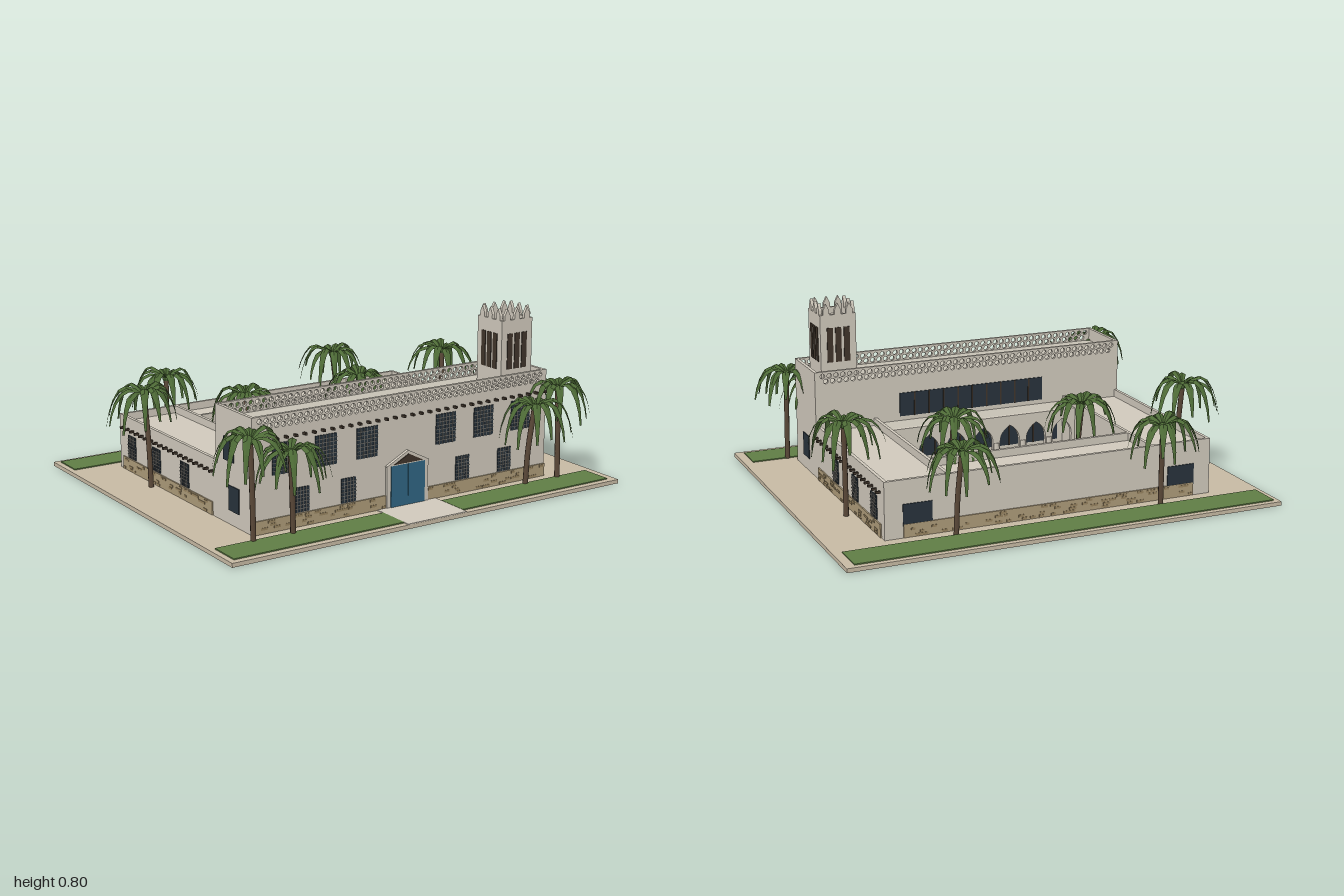
import * as THREE from 'three';

const C = {
  wall: 0xcfc8bb, roof: 0xc6c1b4, ground: 0xc6b9a3, grass: 0x5f7d45, path: 0xcfc8bb, dark: 0x27323b,
  bar: 0x8c8a84, stone: 0xac9a78, stoneDark: 0x97835f, beam: 0x3f342a, blue: 0x2f6582, water: 0x2f86a8,
  tileA: 0xc9b993, tileB: 0xad9a75, trunk: 0x5a4838, leaf: 0x4d6a36,
};
const mats = {};
const mat = (c) => (mats[c] ??= new THREE.MeshStandardMaterial({ color: C[c], side: c === 'leaf' ? THREE.DoubleSide : THREE.FrontSide, flatShading: c === 'leaf' }));

let seed = 7;
const rnd = () => (seed = (seed * 16807) % 2147483647) / 2147483647;

function add(parent, name, geo, c, x = 0, y = 0, z = 0) {
  const m = new THREE.Mesh(geo, mat(c));
  m.name = name;
  m.position.set(x, y, z);
  parent.add(m);
  return m;
}
// Box given by its limits on each axis
function box(p, name, c, x0, x1, y0, y1, z0, z1) {
  return add(p, name, new THREE.BoxGeometry(x1 - x0, y1 - y0, z1 - z0), c, (x0 + x1) / 2, (y0 + y1) / 2, (z0 + z1) / 2);
}
// Empty group on a wall: local x runs along the wall, local +z points outwards
function face(p, name, x, z, angle) {
  const g = new THREE.Group();
  g.name = name;
  g.position.set(x, 0, z);
  g.rotation.y = angle;
  p.add(g);
  return g;
}
// Dark pane with an optional lattice of bars
function windowAt(p, x, y0, y1, w, nx = 0, ny = 0) {
  box(p, 'windowPane', 'dark', x - w / 2, x + w / 2, y0, y1, -0.005, 0.004);
  for (let i = 1; i < nx; i++) {
    const u = x - w / 2 + (w * i) / nx;
    box(p, 'windowBar', 'bar', u - 0.0012, u + 0.0012, y0, y1, 0, 0.007);
  }
  for (let i = 1; i < ny; i++) {
    const v = y0 + ((y1 - y0) * i) / ny;
    box(p, 'windowBar', 'bar', x - w / 2, x + w / 2, v - 0.0012, v + 0.0012, 0, 0.007);
  }
}
function plinth(p, x0, x1) {
  box(p, 'stonePlinth', 'stone', x0, x1, 0.02, 0.078, -0.005, 0.006);
  for (let i = 0; i < (x1 - x0) * 45; i++) {
    const w = 0.015 + rnd() * 0.02, x = x0 + rnd() * (x1 - x0 - w), y = 0.024 + Math.floor(rnd() * 4) * 0.013;
    box(p, 'plinthStone', 'stoneDark', x, x + w, y, y + 0.01, 0, 0.008);
  }
}
function beams(p, x0, x1, y) {
  const n = Math.round((x1 - x0) / 0.045);
  for (let i = 0; i <= n; i++) {
    const x = x0 + ((x1 - x0) * i) / n;
    box(p, 'beamEnd', 'beam', x - 0.005, x + 0.005, y - 0.005, y + 0.005, -0.005, 0.022);
  }
}
// Parapet pierced by two staggered rows of round holes
function lattice(p, w, y0, y1, z, t) {
  const s = new THREE.Shape([[-w / 2, y0], [w / 2, y0], [w / 2, y1], [-w / 2, y1]].map((a) => new THREE.Vector2(...a)));
  const n = 46, step = (w - 0.04) / n;
  for (let row = 0; row < 2; row++) {
    for (let i = 0; i < n - row; i++) {
      const h = new THREE.Path();
      h.absarc(-w / 2 + 0.02 + step * (i + 0.5 + row / 2), y1 - 0.02 - row * 0.025, 0.0115, 0, Math.PI * 2, true);
      s.holes.push(h);
    }
  }
  add(p, 'latticeParapet', new THREE.ExtrudeGeometry(s, { depth: t, bevelEnabled: false, curveSegments: 4 }), 'wall', 0, 0, z);
}
// Wall with pointed arches open to the floor
function arcade(p, w, n, z) {
  const s = new THREE.Shape(), pitch = w / n, r = pitch * 0.37;
  s.moveTo(-w / 2, 0.02);
  for (let i = 0; i < n; i++) {
    const c = -w / 2 + pitch * (i + 0.5);
    s.lineTo(c - r, 0.02);
    s.lineTo(c - r, 0.125);
    s.quadraticCurveTo(c - r, 0.17, c, 0.2);
    s.quadraticCurveTo(c + r, 0.17, c + r, 0.125);
    s.lineTo(c + r, 0.02);
  }
  s.lineTo(w / 2, 0.02);
  s.lineTo(w / 2, 0.245);
  s.lineTo(-w / 2, 0.245);
  add(p, 'arcadeWall', new THREE.ExtrudeGeometry(s, { depth: 0.02, bevelEnabled: false, curveSegments: 6 }), 'wall', 0, 0, z);
  for (let i = 1; i < n; i++) {
    add(p, 'arcadeColumn', new THREE.CylinderGeometry(0.015, 0.017, 0.1, 12), 'wall', -w / 2 + pitch * i, 0.07, z + 0.008);
  }
}
// Long pane split by mullions
function glazing(p, w, y0, y1, n) {
  box(p, 'glazing', 'dark', -w / 2, w / 2, y0, y1, -0.005, 0.004);
  for (let i = 1; i < n; i++) box(p, 'mullion', 'beam', -w / 2 + (w * i) / n - 0.003, -w / 2 + (w * i) / n + 0.003, y0, y1, 0, 0.008);
}
function tower(p) {
  const g = face(p, 'tower', 0.617, 0.465, 0);
  box(g, 'towerShaft', 'wall', -0.085, 0.085, 0.44, 0.72, -0.085, 0.085);
  const merlon = new THREE.Shape([[-0.015, 0], [0.015, 0], [0.015, 0.022], [0, 0.052], [-0.015, 0.022]].map((a) => new THREE.Vector2(...a)));
  const geo = new THREE.ExtrudeGeometry(merlon, { depth: 0.014, bevelEnabled: false });
  for (let k = 0; k < 4; k++) {
    const a = (k * Math.PI) / 2;
    const f = face(g, 'towerSide', Math.sin(a) * 0.085, Math.cos(a) * 0.085, a);
    box(f, 'towerRim', 'wall', -0.085, 0.071, 0.72, 0.75, -0.014, 0);
    for (let i = -1; i <= 1; i++) {
      box(f, 'towerOpening', 'beam', i * 0.04 - 0.014, i * 0.04 + 0.014, 0.53, 0.69, -0.005, 0.003);
      add(f, 'merlon', geo, 'wall', i * 0.055, 0.749, -0.014);
    }
  }
}
// One arching frond: ridged strip swept outwards and down
function frondGeometry(L, rise, drop) {
  const pos = [], idx = [], n = 6, widths = [0.005, 0.013, 0.018, 0.017, 0.012, 0.008, 0.005];
  for (let i = 0; i <= n; i++) {
    const t = i / n, y = rise * Math.sin(Math.PI * Math.min(t * 1.3, 1)) - drop * t * t * t, x = L * Math.sin(t * 1.45);
    pos.push(x, y - widths[i] * 0.5, -widths[i], x, y, 0, x, y - widths[i] * 0.5, widths[i]);
    for (let j = 0; j < 2 && i < n; j++) {
      const a = i * 3 + j;
      idx.push(a, a + 1, a + 3, a + 1, a + 4, a + 3);
    }
  }
  const g = new THREE.BufferGeometry();
  g.setAttribute('position', new THREE.Float32BufferAttribute(pos, 3));
  g.setIndex(idx);
  g.computeVertexNormals();
  return g;
}
function palm(p, bx, bz, tx, tz, h) {
  const g = new THREE.Group();
  g.name = 'palm';
  const path = new THREE.CatmullRomCurve3([
    new THREE.Vector3(bx, 0.01, bz), new THREE.Vector3(bx + (tx - bx) * 0.3, h * 0.5, bz + (tz - bz) * 0.3), new THREE.Vector3(tx, h, tz)]);
  add(g, 'palmTrunk', new THREE.TubeGeometry(path, 10, 0.012, 8), 'trunk');
  add(g, 'palmHeart', new THREE.SphereGeometry(0.018, 8, 6), 'leaf', tx, h, tz);
  const turn = rnd() * 6;
  for (let i = 0; i < 13; i++) {
    const f = add(g, 'palmFrond', frondGeometry(0.14 + rnd() * 0.045, 0.03 + rnd() * 0.025, 0.08 + rnd() * 0.07), 'leaf', tx, h, tz);
    f.rotation.y = turn + (i / 13) * Math.PI * 2 + (rnd() - 0.5) * 0.2;
  }
  p.add(g);
}

export function createModel() {
  const root = new THREE.Group();
  root.name = 'courtyardHouse';

  // Grounds
  box(root, 'groundSlab', 'ground', -1, 1, 0, 0.018, -0.83, 0.815);
  box(root, 'rearLawn', 'grass', -0.975, 0.96, 0.01, 0.023, -0.805, -0.655);
  box(root, 'frontLawnRight', 'grass', -0.975, -0.16, 0.01, 0.023, 0.635, 0.785);
  box(root, 'frontLawnLeft', 'grass', 0.145, 0.96, 0.01, 0.023, 0.635, 0.785);
  box(root, 'entrancePath', 'path', -0.16, 0.145, 0.01, 0.022, 0.58, 0.814);

  const b = new THREE.Group();
  b.name = 'house';
  b.position.x = -0.0065;
  root.add(b);
  const W = 0.7625, I = 0.47, B = -0.595, R = 0.235, P = 0.27;

  // Courtyard paving and pool
  for (let i = 0; i < 16; i++) for (let j = 0; j < 9; j++) {
    const x = -I + i * 0.05875, z = -0.365 + j * 0.0578;
    box(b, 'pavingTile', (i + j) % 2 ? 'tileA' : 'tileB', x, x + 0.05875, 0.01, 0.023, z, z + 0.0578);
  }
  box(b, 'galleryFloor', 'path', -I, I, 0.01, 0.023, 0.155, 0.3);
  box(b, 'poolRim', 'path', -0.14, 0.14, 0.01, 0.032, -0.245, -0.037);
  box(b, 'poolWater', 'water', -0.127, 0.127, 0.02, 0.034, -0.234, -0.048);

  // Front wing
  box(b, 'frontWing', 'wall', -W, W, 0.01, 0.45, 0.29, 0.585);
  box(b, 'frontRoof', 'roof', -W + 0.015, W - 0.015, 0.44, 0.453, 0.305, 0.57);
  lattice(b, 2 * W, 0.45, 0.513, 0.57, 0.015);
  lattice(b, 2 * W, 0.45, 0.513, 0.29, 0.015);
  for (const s of [-1, 1]) box(b, 'endParapet', 'wall', s * (W - 0.0075) - 0.0075, s * (W - 0.0075) + 0.0075, 0.45, 0.512, 0.305, 0.57);
  const front = face(b, 'frontFace', 0, 0.585, 0);
  for (const s of [-1, 1]) {
    for (const x of [0.205, 0.41, 0.617]) windowAt(front, s * x, 0.26, 0.393, 0.105, 6, 8);
    for (const x of [0.298, 0.53]) windowAt(front, s * x, 0.082, 0.188, 0.073, 5, 7);
  }
  plinth(front, -W, -0.11);
  plinth(front, 0.11, W);
  beams(front, -W + 0.02, W - 0.02, 0.415);

  // Entrance with gabled surround
  box(front, 'doorSurround', 'wall', -0.108, 0.108, 0.02, 0.208, -0.005, 0.01);
  for (const s of [-1, 1]) box(front, 'doorLeaf', 'blue', s > 0 ? 0.001 : -0.088, s > 0 ? 0.088 : -0.001, 0.02, 0.205, 0, 0.014);
  const tri = (w, y0, y1) => new THREE.Shape([new THREE.Vector2(-w, y0), new THREE.Vector2(w, y0), new THREE.Vector2(0, y1)]);
  add(front, 'gable', new THREE.ExtrudeGeometry(tri(0.113, 0.205, 0.263), { depth: 0.014, bevelEnabled: false }), 'wall');
  add(front, 'gablePanel', new THREE.ExtrudeGeometry(tri(0.075, 0.21, 0.248), { depth: 0.018, bevelEnabled: false }), 'beam');

  // Side wings
  for (const s of [-1, 1]) {
    const span = (a, c) => (s > 0 ? [a, c] : [-c, -a]);
    box(b, 'sideWing', 'wall', ...span(I, W), 0.01, R, B, 0.29);
    box(b, 'sideOuterParapet', 'wall', ...span(W - 0.015, W), R, P, B, 0.29);
    box(b, 'sideInnerParapet', 'wall', ...span(I, I + 0.015), R, P, B + 0.015, 0.29);
    // Local x on this face runs towards -z on the left side and +z on the right side
    const f = face(b, 'sideFace', s * W, 0, (s * Math.PI) / 2);
    for (const z of [0.018, -0.24, -0.475]) windowAt(f, -s * z, 0.083, 0.188, 0.073, 5, 7);
    windowAt(f, -s * 0.438, 0.08, 0.188, 0.083);
    if (s < 0) windowAt(f, 0.4, 0.29, 0.39, 0.083);
    plinth(f, s > 0 ? -0.26 : -0.56, s > 0 ? 0.56 : 0.26);
    beams(f, s > 0 ? -0.265 : -0.55, s > 0 ? 0.55 : 0.265, 0.215);
  }

  // Rear wing
  box(b, 'rearWing', 'wall', -I, I, 0.01, R, B, -0.365);
  box(b, 'rearOuterParapet', 'wall', -W + 0.015, W - 0.015, R, P, B, B + 0.015);
  box(b, 'rearInnerParapet', 'wall', -I, I, R, P, -0.38, -0.365);
  const rear = face(b, 'rearFace', 0, B, Math.PI);
  for (const s of [-1, 1]) windowAt(rear, s * 0.617, 0.07, 0.165, 0.13);
  plinth(rear, -0.68, 0.68);
  glazing(face(b, 'rearWingGlazing', 0, -0.365, 0), 0.76, 0.06, 0.178, 10);

  // Gallery behind the front wing
  arcade(b, 2 * I, 7, 0.155);
  box(b, 'galleryRoof', 'roof', -I, I, 0.22, 0.244, 0.17, 0.29);
  const inner = face(b, 'courtFace', 0, 0.29, Math.PI);
  glazing(inner, 0.72, 0.265, 0.375, 10);
  glazing(inner, 0.88, 0.06, 0.19, 14);

  tower(b);

  // Palms: base x, z, crown x, z, crown height
  const palms = [
    [-0.8, 0.64, -0.81, 0.64, 0.44], [-0.615, 0.645, -0.64, 0.67, 0.37], [0.605, 0.64, 0.635, 0.655, 0.37], [0.79, 0.64, 0.785, 0.63, 0.43],
    [-0.8, -0.24, -0.8, -0.285, 0.43], [0.8, -0.24, 0.81, -0.26, 0.43], [-0.5, -0.645, -0.485, -0.675, 0.38], [0.46, -0.645, 0.445, -0.675, 0.38],
    [-0.31, -0.2, -0.33, -0.21, 0.37], [0.3, -0.2, 0.295, -0.215, 0.37],
  ];
  for (const a of palms) palm(root, ...a);
  return root;
}
